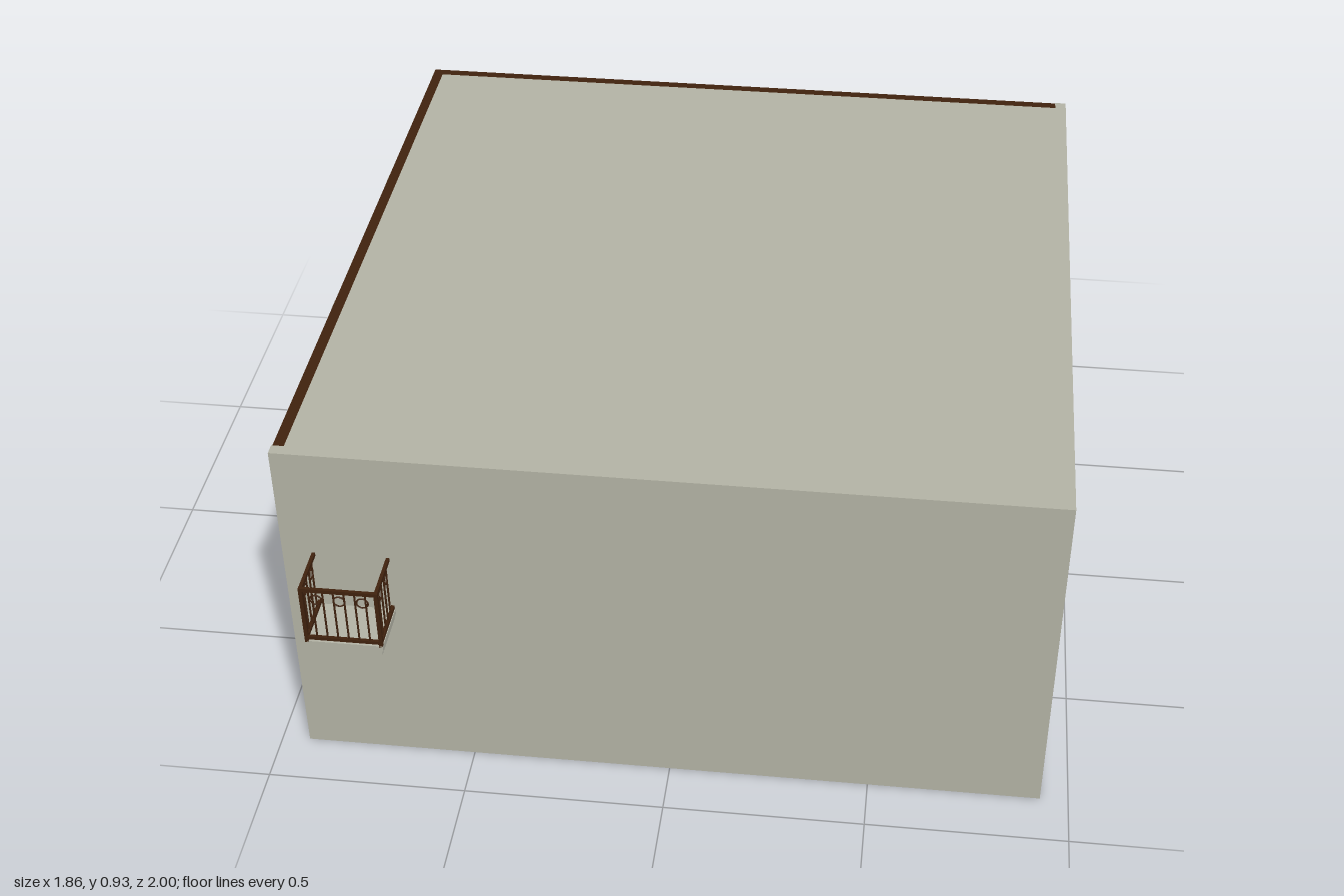
import * as THREE from 'three';

const stone = new THREE.MeshStandardMaterial({ color: 0xb3b3a5 });
stone.name = 'warm grey';
const wood = new THREE.MeshStandardMaterial({ color: 0x40220e });
wood.name = 'dark brown';

// Box given by its min and max corners
function box(parent, name, material, [x0, y0, z0], [x1, y1, z1]) {
  const mesh = new THREE.Mesh(new THREE.BoxGeometry(x1 - x0, y1 - y0, z1 - z0), material);
  mesh.position.set((x0 + x1) / 2, (y0 + y1) / 2, (z0 + z1) / 2);
  mesh.name = name;
  parent.add(mesh);
  return mesh;
}

const X = 0.93, H = 0.93, BACK = -1, FRONT = 0.865, T = 0.03, SKIN = 0.003;

// Hollow room, open underneath
function buildRoom() {
  const room = new THREE.Group();
  room.name = 'room';
  box(room, 'frontWall', stone, [-X, 0, FRONT - T], [X, H, FRONT]);
  box(room, 'leftWall', stone, [X - T, 0, BACK], [X, H, FRONT - T]);
  box(room, 'roof', stone, [-X + T, H - 0.015, BACK + T], [X - T, H, FRONT - T]);
  box(room, 'backPanel', wood, [-X + SKIN, 0, BACK + SKIN], [X - T, H, BACK + T]);
  box(room, 'rightPanel', wood, [-X + SKIN, 0, BACK + T], [-X + T, H, FRONT - T]);
  return room;
}

// Grey strips laid on a panel: four uprights and two cross rails, facing +z
function buildLattice(name, width) {
  const lattice = new THREE.Group();
  lattice.name = name;
  const half = width / 2, w = 0.02;
  for (const x of [-half + w, -0.31, 0.31, half - w]) {
    box(lattice, 'upright', stone, [x - w, 0, -SKIN], [x + w, H - 0.004, 0]);
  }
  for (const y of [0.435, 0.906]) {
    box(lattice, 'crossStrip', stone, [-half, y - 0.018, -SKIN], [half, y + 0.018, -0.0002]);
  }
  return lattice;
}

// Straight run of railing centred on x, with balusters and rings
function buildRailing(name, length, balusters, rings) {
  const railing = new THREE.Group();
  railing.name = name;
  const half = length / 2, r = 0.004;
  box(railing, 'topRail', wood, [-half, 0.627, -r], [half, 0.637, r]);
  box(railing, 'bottomRail', wood, [-half, 0.477, -r], [half, 0.486, r]);
  const bar = new THREE.CylinderGeometry(0.0025, 0.0025, 0.145, 8);
  for (let i = 1; i <= balusters; i++) {
    const mesh = new THREE.Mesh(bar, wood);
    mesh.name = 'baluster';
    mesh.position.set(-half + (length * i) / (balusters + 1), 0.556, 0);
    railing.add(mesh);
  }
  const hoop = new THREE.TorusGeometry(0.014, 0.002, 6, 20);
  for (let i = 0; i < rings; i++) {
    const mesh = new THREE.Mesh(hoop, wood);
    mesh.name = 'ring';
    mesh.position.set((i - (rings - 1) / 2) * 0.056, 0.602, 0);
    railing.add(mesh);
  }
  return railing;
}

function buildBalcony() {
  const balcony = new THREE.Group();
  balcony.name = 'balcony';
  const x0 = -0.857, x1 = -0.667, z1 = 1;
  // Floor slab with a narrower moulding below
  box(balcony, 'floorSlab', stone, [x0, 0.457, FRONT], [x1, 0.472, z1]);
  box(balcony, 'floorMoulding', stone, [x0 + 0.004, 0.442, FRONT], [x1 - 0.004, 0.457, z1 - 0.004]);
  // Corner posts
  for (const x of [x0, x1 - 0.009]) {
    box(balcony, 'cornerPost', wood, [x, 0.468, z1 - 0.009], [x + 0.009, 0.637, z1]);
  }
  const front = buildRailing('frontRailing', x1 - x0 - 0.01, 6, 3);
  front.position.set((x0 + x1) / 2, 0, z1 - 0.0045);
  balcony.add(front);
  for (const x of [x0 + 0.0045, x1 - 0.0045]) {
    const side = buildRailing('sideRailing', z1 - FRONT - 0.005, 4, 2);
    side.rotation.y = Math.PI / 2;
    side.position.set(x, 0, (FRONT + z1) / 2);
    balcony.add(side);
  }
  return balcony;
}

export function createModel() {
  const model = new THREE.Group();
  model.name = 'roomWithBalcony';
  model.add(buildRoom(), buildBalcony());

  const back = buildLattice('backLattice', 2 * X);
  back.rotation.y = Math.PI;
  back.position.z = BACK;
  model.add(back);

  const right = buildLattice('rightLattice', FRONT - BACK);
  right.rotation.y = -Math.PI / 2;
  right.position.set(-X, 0, (FRONT + BACK) / 2);
  model.add(right);
  return model;
}
